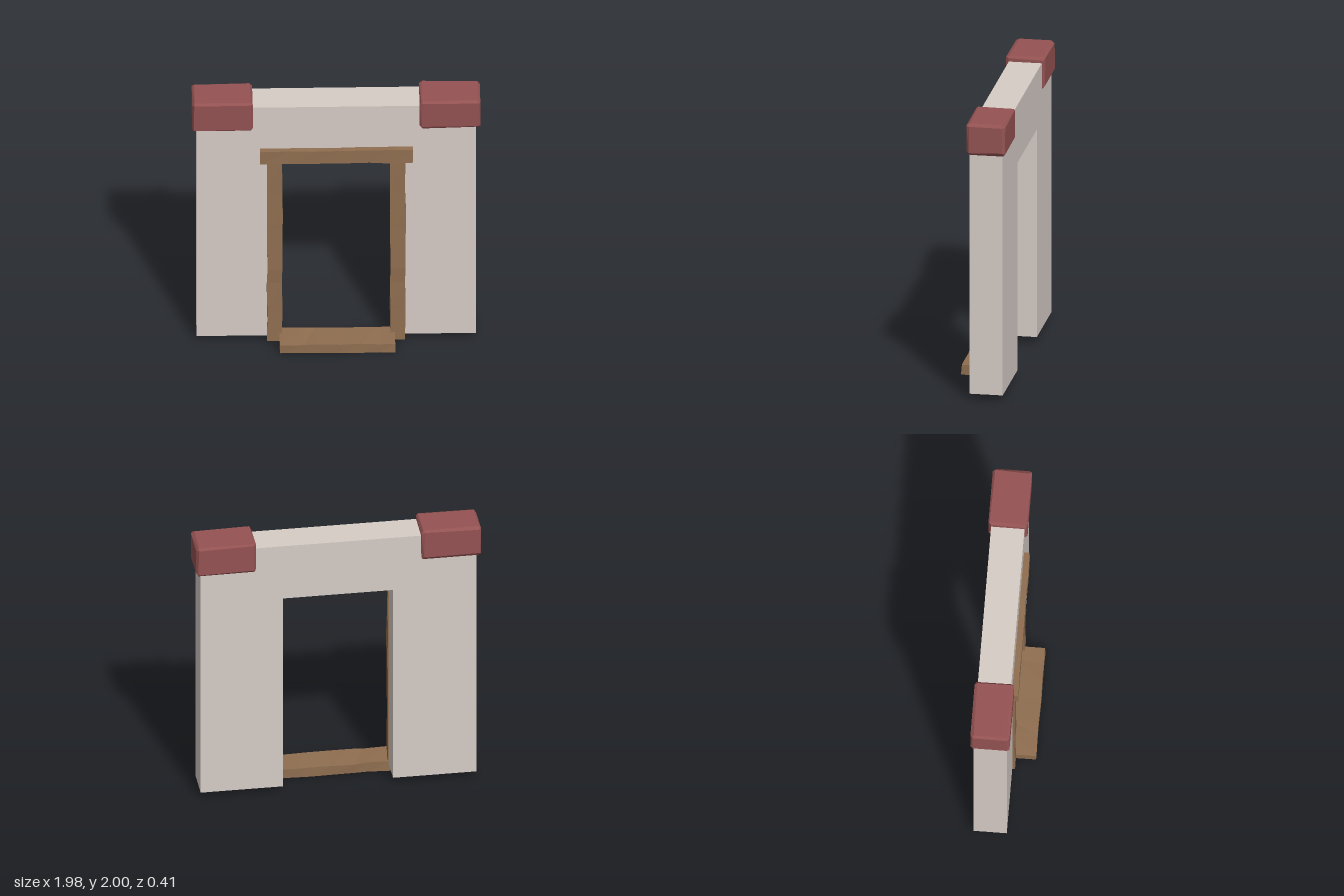
import * as THREE from 'three';
import { ConvexGeometry } from 'three/addons/geometries/ConvexGeometry.js';

const material = (color) => new THREE.MeshStandardMaterial({ color, flatShading: true, roughness: 0.9 });

// Repeatable 0..1 value for a position
function hash(x, y, z) {
  const s = Math.sin(x * 127.1 + y * 311.7 + z * 74.7) * 43758.5453;
  return s - Math.floor(s);
}

function addMesh(group, name, geometry, mat) {
  const mesh = new THREE.Mesh(geometry, mat);
  mesh.name = name;
  group.add(mesh);
  return mesh;
}

// Rough-hewn beam between two corners: inner edge points are pushed slightly inward
function beamGeometry(min, max, segments) {
  const size = max.map((v, i) => v - min[i]);
  const centre = max.map((v, i) => (v + min[i]) / 2);
  const long = size.indexOf(Math.max(...size));
  const seg = [1, 1, 1];
  seg[long] = segments;
  const geo = new THREE.BoxGeometry(...size, ...seg);
  const pos = geo.attributes.position;
  for (let i = 0; i < pos.count; i++) {
    const p = [pos.getX(i), pos.getY(i), pos.getZ(i)].map((v) => Math.round(v * 1e4) / 1e4);
    const along = Math.abs(p[long]) / size[long];
    const q = p.map((v, a) => {
      if (a === long) return along > 0.49 ? v : v + (hash(v, 1, 2) - 0.5) * size[a] * 0.1;
      return v - Math.sign(v) * hash(p[0] + a, p[1], p[2]) * 0.008;
    });
    pos.setXYZ(i, ...q);
  }
  geo.translate(...centre);
  return geo;
}

// Block with unevenly chamfered edges
function brickGeometry(min, max, seed) {
  const points = [];
  for (const sx of [0, 1]) for (const sy of [0, 1]) for (const sz of [0, 1]) {
    const side = [sx, sy, sz];
    for (let flat = 0; flat < 3; flat++) {
      const p = side.map((s, a) => {
        const cut = a === flat ? 0 : 0.008 + 0.018 * hash(sx + seed, sy * 2 + a, sz * 3 + flat);
        return s ? max[a] - cut : min[a] + cut;
      });
      points.push(new THREE.Vector3(...p));
    }
  }
  return new ConvexGeometry(points);
}

export function createModel() {
  const model = new THREE.Group();
  model.name = 'doorwayWall';
  const plaster = material(0xd6ccc6);
  const wood = material(0x8f6e50);
  const clay = material(0x945252);

  // Wall slab with the door opening cut up from its lower edge
  const outline = [
    [-0.96, 0.05], [-0.38, 0.05], [-0.38, 1.545], [0.385, 1.545],
    [0.385, 0.05], [0.955, 0.05], [0.955, 1.96], [-0.96, 1.96],
  ].map(([x, y]) => new THREE.Vector2(x, y));
  const wallGeo = new THREE.ExtrudeGeometry(new THREE.Shape(outline), { depth: 0.23, bevelEnabled: false });
  wallGeo.translate(0, 0, -0.185);
  addMesh(model, 'wall', wallGeo, plaster);

  // Timber door frame
  addMesh(model, 'rightPost', beamGeometry([-0.48, 0.015, 0], [-0.368, 1.53, 0.065], 7), wood);
  addMesh(model, 'leftPost', beamGeometry([0.365, 0.015, 0], [0.477, 1.53, 0.065], 7), wood);
  addMesh(model, 'lintel', beamGeometry([-0.525, 1.508, 0.01], [0.525, 1.622, 0.09], 6), wood);
  addMesh(model, 'threshold', beamGeometry([-0.392, 0, -0.01], [0.4, 0.08, 0.205], 6), wood);

  // Corner blocks capping the wall
  addMesh(model, 'rightCornerBlock', brickGeometry([-0.99, 1.775, -0.205], [-0.575, 2, 0.065], 1), clay);
  addMesh(model, 'leftCornerBlock', brickGeometry([0.57, 1.775, -0.205], [0.987, 2, 0.065], 5), clay);

  return model;
}
